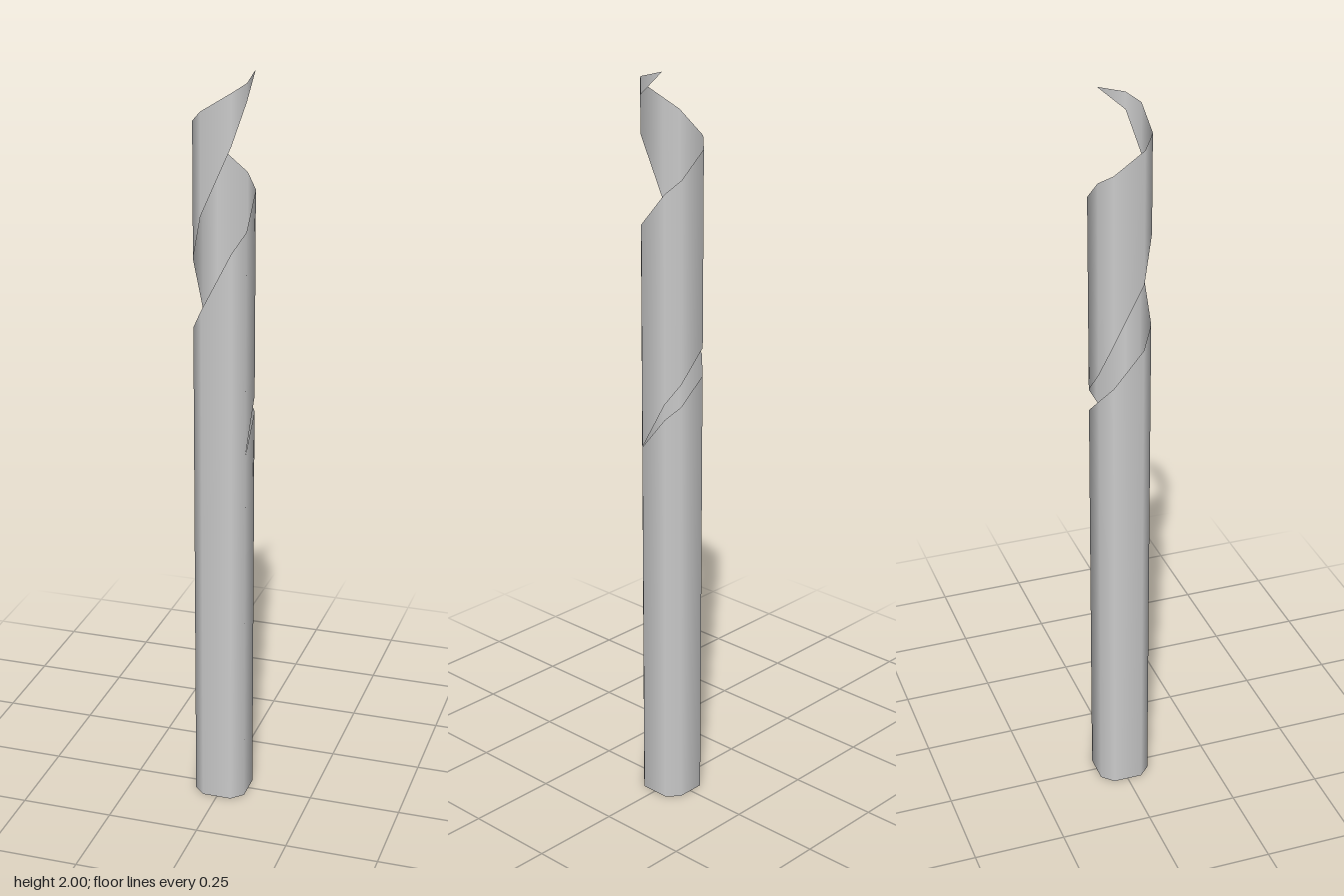
import * as THREE from 'three';

// Octagonal cross-section, starting at the seam and running around the tube
const A = 0.07, B = 0.04;
const CORNERS = [[A, B], [A, -B], [B, -A], [-B, -A], [-A, -B], [-A, B], [-B, A], [B, A]];

// Height of the rising spiral rim at each corner over two turns
const RIM = [1.015, 1.11, 1.145, 1.21, 1.255, 1.35, 1.405, 1.56, 1.61,
  1.70, 1.735, 1.80, 1.825, 1.88, 1.91, 1.96, 1.98, 2.0];
// Lower edge of the peeled ribbon during the second turn
const PEEL = [1.015, 1.152, 1.205, 1.285, 1.375, 1.53, 1.65, 1.83, 1.935, 2.0];

// Wall made of vertical columns { corner index, bottom, top }
function wall(name, columns, material) {
  const pos = [], nor = [], idx = [];
  columns.forEach(({ s, bottom, top }, i) => {
    const [x, z0] = CORNERS[s % 8];
    const z = s === 17 ? -0.033 : z0; // the tip stops just short of the corner
    const angle = Math.PI / 8 - s * Math.PI / 4;
    for (const y of [bottom, top]) {
      pos.push(x, y, z);
      nor.push(Math.cos(angle), 0, Math.sin(angle));
    }
    if (i > 0) {
      const a = 2 * (i - 1), b = 2 * i;
      idx.push(a, b, b + 1);
      idx.push(a, b + 1, a + 1);
    }
  });
  const geometry = new THREE.BufferGeometry();
  geometry.setAttribute('position', new THREE.Float32BufferAttribute(pos, 3));
  geometry.setAttribute('normal', new THREE.Float32BufferAttribute(nor, 3));
  geometry.setIndex(idx);
  const mesh = new THREE.Mesh(geometry, material);
  mesh.name = name;
  return mesh;
}

export function createModel() {
  const group = new THREE.Group();
  group.name = 'spiralCutTube';
  const material = new THREE.MeshStandardMaterial({ color: 0xcccccc, side: THREE.DoubleSide });

  // Open tube whose rim climbs once around
  const body = RIM.slice(0, 9).map((top, s) => ({ s, bottom: 0, top }));
  group.add(wall('tubeBody', body, material));

  // Ribbon peeling away from the body and ending in a point
  const ribbon = PEEL.map((bottom, i) => ({ s: i + 8, bottom, top: RIM[i + 8] }));
  group.add(wall('spiralRibbon', ribbon, material));

  return group;
}
